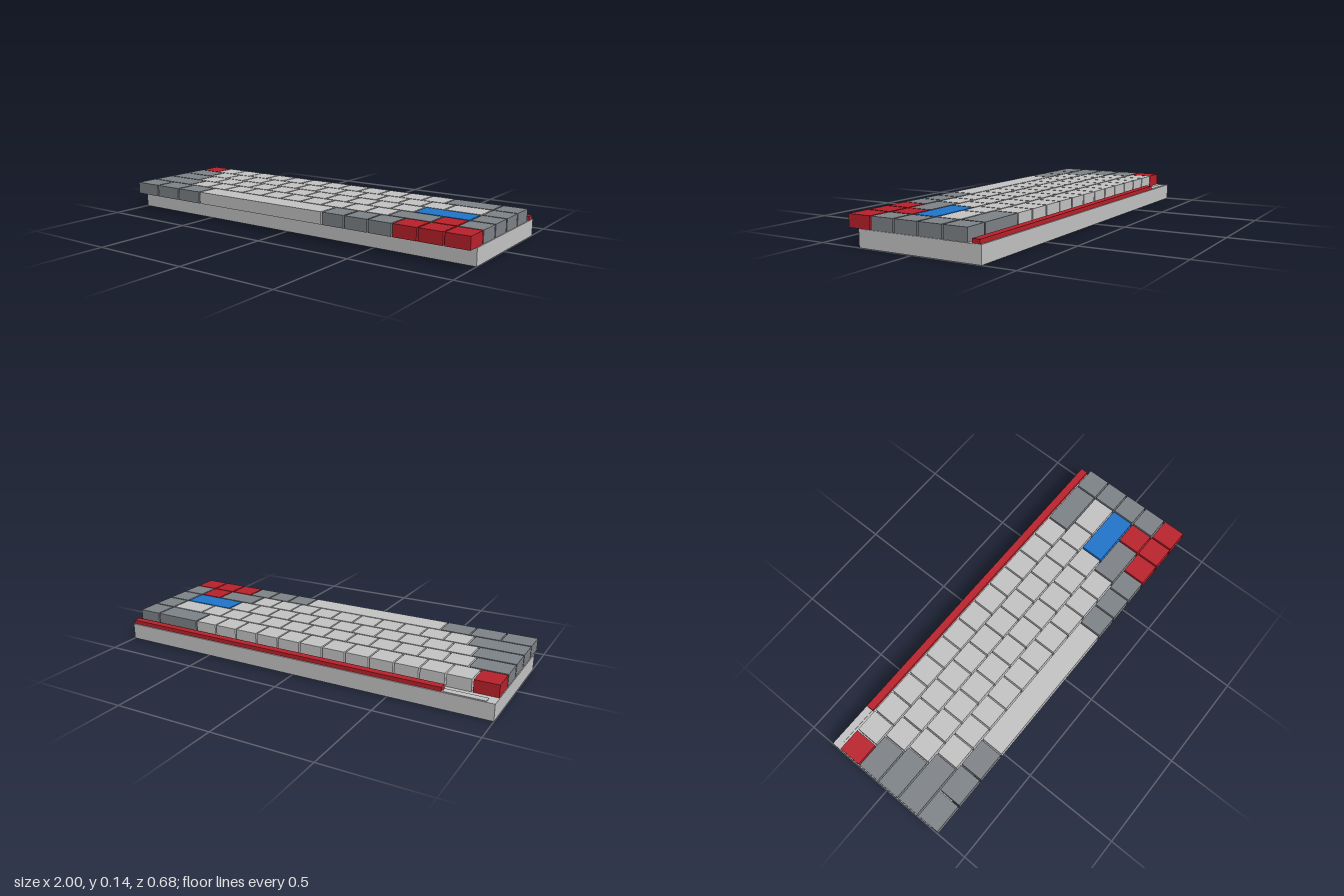
import * as THREE from 'three';

const material = (name, color) => Object.assign(new THREE.MeshStandardMaterial({ color }), { name });

export function createModel() {
  const light = material('light grey', 0xc4c4c4);
  const dark = material('dark grey', 0x7e8388);
  const red = material('red', 0xbb212b);
  const blue = material('blue', 0x2075cb);

  const model = new THREE.Group();
  model.name = 'keyboard';

  // Box given by its lower and upper corners
  function box(name, mat, [x0, y0, z0], [x1, y1, z1], parent = model) {
    const mesh = new THREE.Mesh(new THREE.BoxGeometry(x1 - x0, y1 - y0, z1 - z0), mat);
    mesh.position.set((x0 + x1) / 2, (y0 + y1) / 2, (z0 + z1) / 2);
    mesh.name = name;
    parent.add(mesh);
  }

  // Case and the strip along its back edge
  const deck = 0.082;
  box('case', light, [-1, 0, -0.342], [1, deck, 0.284]);
  box('backBar', red, [-0.756, deck, -0.336], [0.998, 0.102, -0.298]);
  box('backPlate', light, [-0.96, deck, -0.338], [-0.762, deck + 0.004, -0.304]);

  // Key rows from back to front: [name, material, width in units, count]
  const rows = [
    [['escapeKey', red, 1, 1], ['numberKey', light, 1, 12], ['backspaceKey', dark, 2, 1], ['sideKey', dark, 1, 1]],
    [['tabKey', dark, 1.5, 1], ['letterKey', light, 1, 12], ['slashKey', light, 1.5, 1], ['sideKey', dark, 1, 1]],
    [['capsKey', dark, 1.75, 1], ['letterKey', light, 1, 11], ['enterKey', blue, 2.25, 1], ['sideKey', dark, 1, 1]],
    [['leftShiftKey', dark, 2.25, 1], ['letterKey', light, 1, 10], ['rightShiftKey', dark, 1.75, 1],
      ['upArrowKey', red, 1, 1], ['sideKey', dark, 1, 1]],
    [['modifierKey', dark, 1.25, 3], ['spaceBar', light, 6.25, 1], ['modifierKey', dark, 1, 3], ['arrowKey', red, 1, 3]],
  ];
  const unit = 0.125, inset = 0.0038;
  rows.forEach((row, r) => {
    const group = new THREE.Group();
    group.name = `keyRow${r + 1}`;
    model.add(group);
    const z = -0.279 + r * unit;
    let x = -1;
    for (const [name, mat, width, count] of row) {
      for (let i = 0; i < count; i++) {
        const next = x + width * unit;
        box(name, mat, [x + inset, deck, z + inset], [next - inset, 0.143, z + unit - inset], group);
        x = next;
      }
    }
  });

  return model;
}
